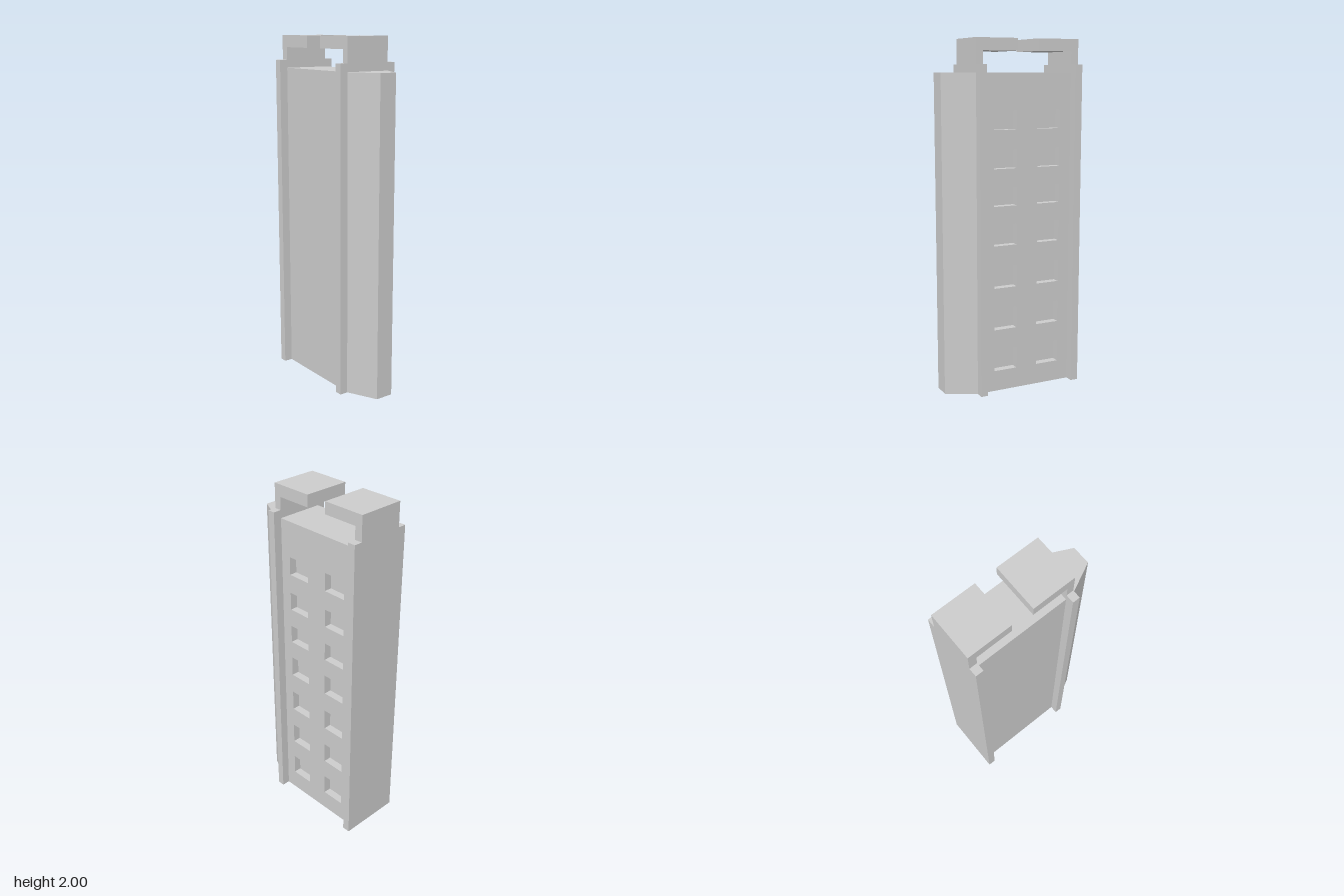
import * as THREE from 'three';

const material = new THREE.MeshStandardMaterial({ color: 0xcccccc, flatShading: true });
const HALF = 0.135;     // half width of the main block
const ROOF = 1.815;
const FRONT = 0.23, BACK = -0.4;
const RECESS = 0.045;   // window depth

function add(group, name, geometry) {
  const mesh = new THREE.Mesh(geometry, material);
  mesh.name = name;
  group.add(mesh);
}

// Box given by its limits on each axis
function block(x0, x1, y0, y1, z0, z1) {
  return new THREE.BoxGeometry(x1 - x0, y1 - y0, z1 - z0)
    .translate((x0 + x1) / 2, (y0 + y1) / 2, (z0 + z1) / 2);
}

const outline = (points) => points.map(([a, b]) => new THREE.Vector2(a, b));

// Extrude a (z, y) profile inward from x = HALF
function sideExtrude(shape, depth) {
  return new THREE.ExtrudeGeometry(shape, { depth, bevelEnabled: false })
    .rotateY(-Math.PI / 2).translate(HALF, 0, 0);
}

export function createModel() {
  const tower = new THREE.Group();
  tower.name = 'tower';

  // Solid block behind the windowed wall
  add(tower, 'core', block(-HALF, HALF - RECESS, 0, ROOF, BACK, FRONT));

  // Wall with two columns of recessed windows
  const wall = new THREE.Shape(outline([[BACK, 0], [FRONT, 0], [FRONT, ROOF], [BACK, ROOF]]));
  const rows = [[0.12, 0.245], [0.365, 0.49], [0.61, 0.735], [0.855, 0.975],
    [1.08, 1.185], [1.29, 1.395], [1.505, 1.61]];
  for (const [y0, y1] of rows) {
    for (const [z0, z1] of [[-0.015, 0.125], [-0.285, -0.145]]) {
      wall.holes.push(new THREE.Path(outline([[z0, y0], [z0, y1], [z1, y1], [z1, y0]])));
    }
  }
  add(tower, 'windowWall', sideExtrude(wall, RECESS));

  // Tapered bay on the front
  const bay = new THREE.Shape(outline([[-HALF, -FRONT], [-0.052, -0.4], [0.052, -0.4], [HALF, -FRONT]]));
  add(tower, 'frontBay', new THREE.ExtrudeGeometry(bay, { depth: ROOF, bevelEnabled: false })
    .rotateX(-Math.PI / 2));

  // Corner pilasters
  for (const [end, z0, z1] of [['front', 0.188, FRONT], ['back', BACK, -0.355]]) {
    add(tower, end + 'LeftPilaster', block(HALF, 0.183, 0, 1.86, z0, z1));
    add(tower, end + 'RightPilaster', block(-0.183, -HALF, 0, 1.86, z0, z1));
  }

  // Overhanging roof canopies: an upright with a slab reaching inward
  const canopies = [['frontCanopy', FRONT, 0.188, -0.02], ['backCanopy', BACK, -0.355, -0.147]];
  for (const [name, outer, inner, tip] of canopies) {
    const profile = new THREE.Shape(outline([[outer, ROOF], [outer, 2], [tip, 2],
      [tip, 1.932], [inner, 1.932], [inner, ROOF]]));
    add(tower, name, sideExtrude(profile, 2 * HALF));
  }

  return tower;
}
